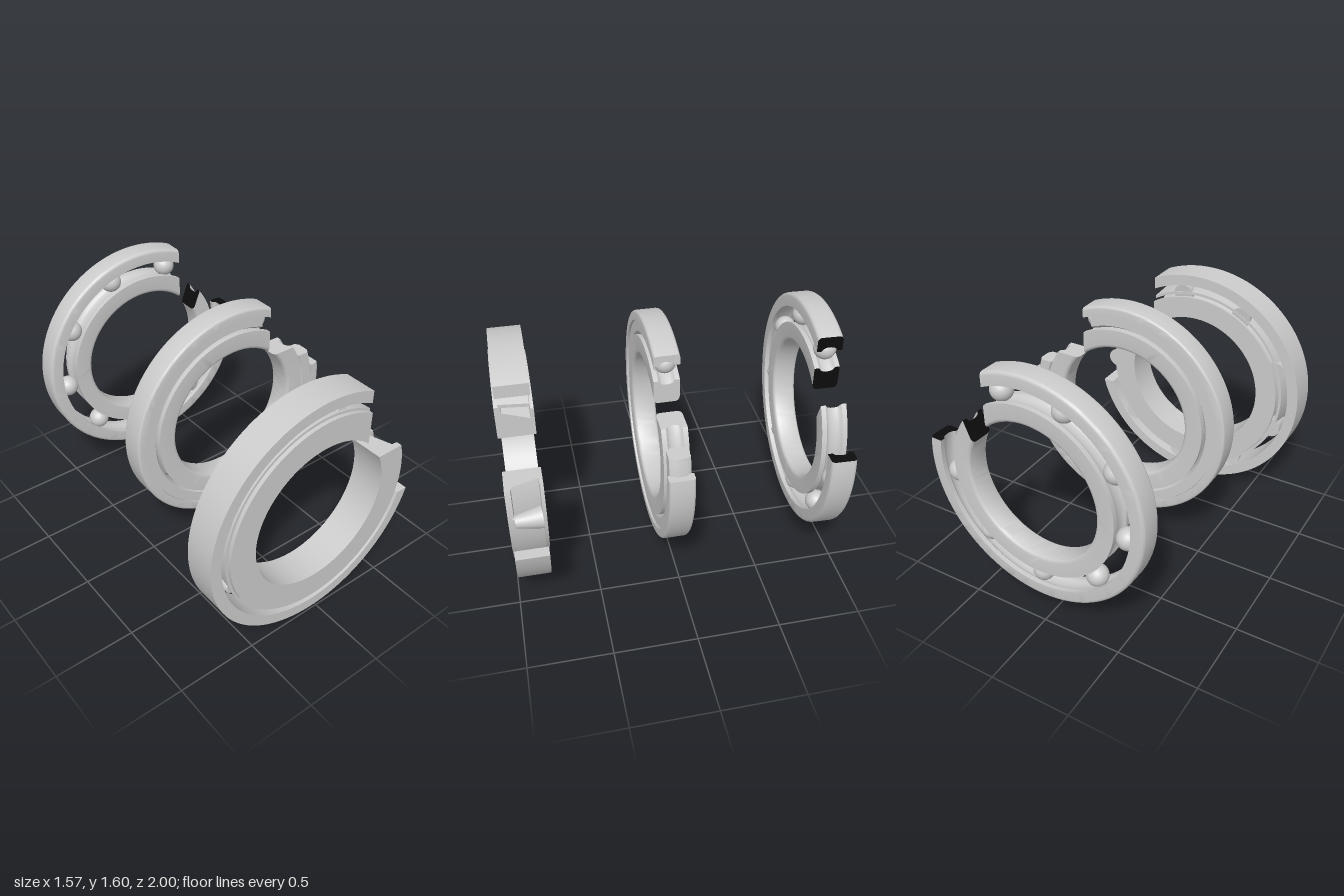
import * as THREE from 'three';
import { toCreasedNormals } from 'three/addons/utils/BufferGeometryUtils.js';

const steel = new THREE.MeshStandardMaterial({ color: 0xcccccc });
const cutBlack = new THREE.MeshStandardMaterial({ color: 0x0c0c0c });

// Angle where a circle of radius r meets a vertical (x) or horizontal (y) cut
const atX = (x) => (r) => Math.acos(x / r);
const atY = (y) => (r) => Math.asin(y / r);

// Sweeps a closed counter-clockwise [r, z] profile around z, with planar cut ends
function cutRing(name, profile, start, end, capMaterial = steel, segments = 112) {
  const n = profile.length;
  const pos = [];
  const index = [];
  for (let i = 0; i <= segments; i++) {
    for (const [r, z] of profile) {
      const a = THREE.MathUtils.lerp(start(r), end(r) + Math.PI * 2, i / segments);
      pos.push(r * Math.cos(a), r * Math.sin(a), z);
    }
  }
  for (let i = 0; i < segments; i++) {
    for (let j = 0; j < n; j++) {
      const k = (j + 1) % n;
      const a = i * n + j, b = a + n, c = (i + 1) * n + k, d = i * n + k;
      index.push(a, b, c, a, c, d);
    }
  }
  const attribute = new THREE.Float32BufferAttribute(pos, 3);
  const side = new THREE.BufferGeometry();
  side.setAttribute('position', attribute);
  side.setIndex(index);

  // Cut faces at both ends
  const faces = THREE.ShapeUtils.triangulateShape(profile.map(([r, z]) => new THREE.Vector2(r, z)), []);
  const capIndex = [];
  const last = segments * n;
  for (const [a, b, c] of faces) capIndex.push(a, b, c, last + a, last + c, last + b);
  const caps = new THREE.BufferGeometry();
  caps.setAttribute('position', attribute.clone());
  caps.setIndex(capIndex);

  const group = new THREE.Group();
  group.name = name;
  const body = new THREE.Mesh(toCreasedNormals(side, 0.65), steel);
  body.name = name + 'Body';
  const ends = new THREE.Mesh(toCreasedNormals(caps, 0.3), capMaterial);
  ends.name = name + 'CutFaces';
  group.add(body, ends);
  return group;
}

const rect = (r0, r1, z0, z1) => [[r0, z0], [r1, z0], [r1, z1], [r0, z1]];

// Ring section with rounded corners; groove is 'in' or 'out' for the ball track side
function raceProfile(r0, r1, h, bevel, track, depth) {
  const pts = [];
  const corner = (cr, cz, from) => {
    for (let i = 0; i <= 4; i++) {
      const a = from + (i / 4) * Math.PI / 2;
      pts.push([cr + bevel * Math.cos(a), cz + bevel * Math.sin(a)]);
    }
  };
  const groove = (r, dir, side) => {
    for (let i = 0; i <= 8; i++) {
      const t = -1 + i / 4;
      pts.push([r + side * depth * Math.sqrt(1 - t * t), dir * t * h * 0.62]);
    }
  };
  if (track === 'out') {
    pts.push([r1, -h]);
    groove(r1, 1, -1);
    pts.push([r1, h]);
    corner(r0 + bevel, h - bevel, Math.PI / 2);
    corner(r0 + bevel, -h + bevel, Math.PI);
  } else {
    corner(r1 - bevel, -h + bevel, -Math.PI / 2);
    corner(r1 - bevel, h - bevel, 0);
    pts.push([r0, h]);
    groove(r0, -1, 1);
    pts.push([r0, -h]);
  }
  return pts;
}

// Balls every 40 degrees, leaving out the one in the cutaway
function addBalls(group, pitch, radius) {
  const geo = new THREE.SphereGeometry(radius, 28, 18);
  for (let i = 0; i < 8; i++) {
    const a = THREE.MathUtils.degToRad(70 + i * 40);
    const ball = new THREE.Mesh(geo, steel);
    ball.name = 'ball';
    ball.position.set(pitch * Math.cos(a), pitch * Math.sin(a), 0);
    group.add(ball);
  }
}

// Front: tapered roller bearing
function rollerBearing() {
  const g = new THREE.Group();
  g.name = 'taperedRollerBearing';
  const top = atX(0.316);
  const cone = [[0.468, -0.108], [0.61, -0.108], [0.61, -0.088], [0.556, -0.084],
    [0.602, 0.07], [0.636, 0.074], [0.636, 0.108], [0.468, 0.108]];
  const cage = [[0.622, -0.085], [0.64, -0.085], [0.652, 0.085], [0.634, 0.085]];
  g.add(
    cutRing('outerRing', rect(0.688, 0.758, -0.098, 0.098), top, atY(-0.2)),
    cutRing('rollerCage', cage, top, atY(0.03)),
    cutRing('innerRing', cone, top, atY(0.195)),
  );
  const geo = new THREE.CylinderGeometry(0.036, 0.067, 0.155, 28);
  geo.rotateX(Math.PI / 2);
  for (let i = 0; i < 8; i++) {
    const pivot = new THREE.Group();
    pivot.name = 'rollerPivot';
    pivot.rotation.z = THREE.MathUtils.degToRad(80 + i * 40);
    const roller = new THREE.Mesh(geo, steel);
    roller.name = 'taperedRoller';
    roller.position.set(0.628, 0, -0.004);
    roller.rotation.y = 0.1;
    pivot.add(roller);
    g.add(pivot);
  }
  g.position.set(-0.03, 0.76, 0.89);
  return g;
}

// Middle: ball bearing closed by a filled cage ring
function closedBearing() {
  const g = new THREE.Group();
  g.name = 'closedBallBearing';
  const top = atX(0.265);
  const filler = [[0.552, -0.035], [0.57, -0.062], [0.635, -0.062], [0.652, -0.035],
    [0.652, 0.035], [0.635, 0.062], [0.57, 0.062], [0.552, 0.035]];
  g.add(
    cutRing('outerRing', raceProfile(0.637, 0.695, 0.075, 0.016, 'in', 0.022), top, atY(0.105)),
    cutRing('cageRing', filler, atX(0.215), atY(0.205)),
    cutRing('innerRing', raceProfile(0.43, 0.55, 0.075, 0.025, 'out', 0.022), top, atY(0.3)),
  );
  addBalls(g, 0.6, 0.06);
  g.position.set(0.055, 0.9, 0.045);
  return g;
}

// Back: open ball bearing, slightly turned, with dark section faces
function openBearing() {
  const g = new THREE.Group();
  g.name = 'openBallBearing';
  const top = atX(0.275);
  const slant = (r) => THREE.MathUtils.mapLinear(r, 0.43, 0.54, 0.47, 0.63);
  g.add(
    cutRing('outerRing', raceProfile(0.638, 0.72, 0.075, 0.022, 'in', 0.022), top, atY(0.12), cutBlack),
    cutRing('innerRing', raceProfile(0.425, 0.54, 0.075, 0.025, 'out', 0.022), top, slant, cutBlack),
  );
  addBalls(g, 0.588, 0.066);
  g.position.set(0.057, 0.885, -0.9);
  g.rotation.y = -0.035;
  return g;
}

export function createModel() {
  const model = new THREE.Group();
  model.name = 'cutawayBearings';
  model.add(rollerBearing(), closedBearing(), openBearing());
  return model;
}
